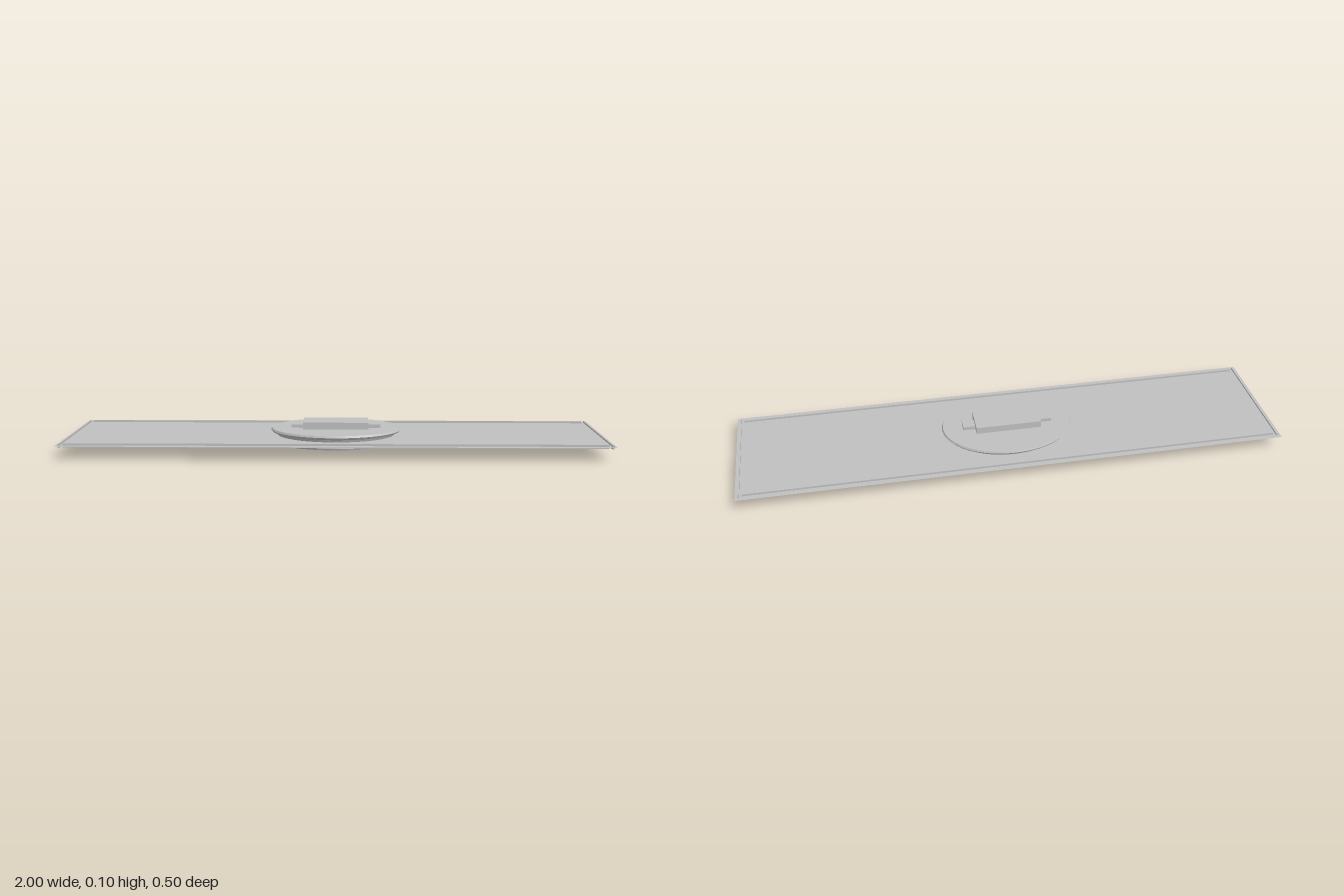
import * as THREE from 'three';
import { toCreasedNormals } from 'three/addons/utils/BufferGeometryUtils.js';

const MID = 0.2; // height of the panel's middle plane

export function createModel() {
  const model = new THREE.Group();
  model.name = 'mountedPanel';
  const grey = new THREE.MeshStandardMaterial({ color: 0xc0c0c0 });
  grey.name = 'grey';
  const greySheet = new THREE.MeshStandardMaterial({ color: 0xc0c0c0, side: THREE.DoubleSide });
  greySheet.name = 'greySheet';

  const add = (name, geometry, x, y, z, material = grey) => {
    const mesh = new THREE.Mesh(geometry, material);
    mesh.name = name;
    mesh.position.set(x, y, z);
    model.add(mesh);
    return mesh;
  };
  const box = (name, w, h, d, x, y, z) => add(name, new THREE.BoxGeometry(w, h, d), x, y, z);

  // Paper-thin panel
  add('panel', new THREE.PlaneGeometry(2, 0.496).rotateX(-Math.PI / 2), 0, MID, 0, greySheet);

  // Slim ribs just inside the panel's edges
  for (const s of [-1, 1]) {
    box('longRib', 1.95, 0.015, 0.007, 0, MID, s * 0.2235);
    box('endRib', 0.007, 0.014, 0.468, s * 0.988, MID - 0.001, 0);
  }

  // Oval discs above and below, flaring away from the panel
  const profile = [[0, 0], [0.9, 0], [0.92, 0.009], [0.98, 0.013], [1, 0.019], [0.985, 0.026], [0, 0.026]]
    .map(([r, y]) => new THREE.Vector2(r, y));
  const disc = toCreasedNormals(
    new THREE.LatheGeometry(profile, 64).scale(0.244, 1, 0.183), 0.6);
  add('upperDisc', disc, 0, MID, 0);
  add('lowerDisc', disc, 0, MID, 0).rotation.x = Math.PI;

  // Central block with a narrow tab at each end
  box('centreBlock', 0.244, 0.103, 0.104, 0, MID, 0);
  for (const s of [-1, 1]) box('endTab', 0.05, 0.078, 0.042, s * 0.142, MID, 0);

  return model;
}
